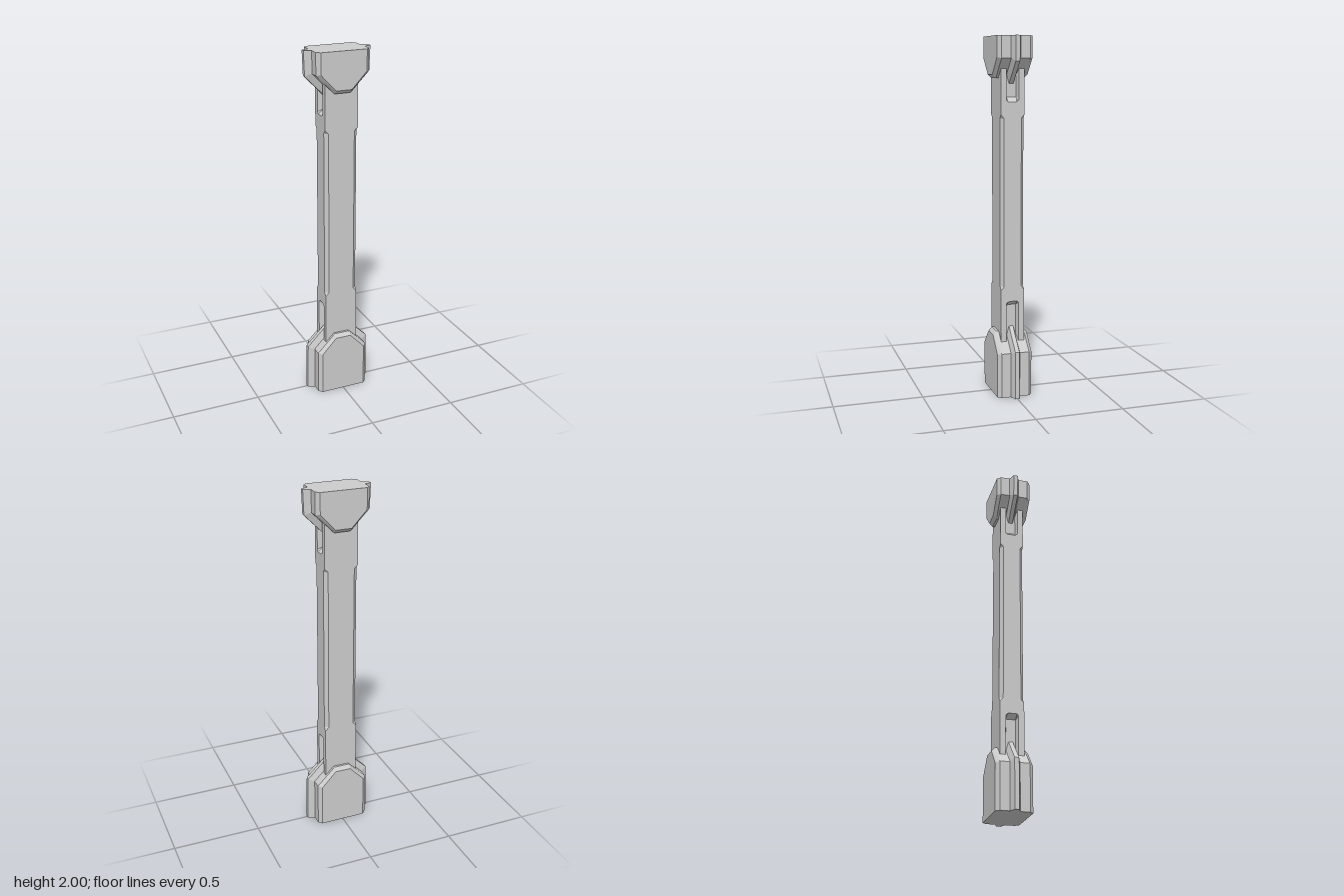
import * as THREE from 'three';

const material = new THREE.MeshStandardMaterial({ color: 0xcccccc, flatShading: true });

// Skin equal-length rings of [x, y, z]; each ring runs counter-clockwise about the sweep direction
function loft(name, rings, capped = true) {
  const pos = [];
  const tri = (a, b, c) => pos.push(...a, ...b, ...c);
  const n = rings[0].length;
  for (let r = 0; r < rings.length - 1; r++) {
    for (let i = 0; i < n; i++) {
      const j = (i + 1) % n;
      tri(rings[r][i], rings[r][j], rings[r + 1][j]);
      tri(rings[r][i], rings[r + 1][j], rings[r + 1][i]);
    }
  }
  if (capped) {
    const first = rings[0], last = rings[rings.length - 1];
    for (let i = 1; i < n - 1; i++) {
      tri(first[0], first[i + 1], first[i]);
      tri(last[0], last[i], last[i + 1]);
    }
  }
  const geometry = new THREE.BufferGeometry();
  geometry.setAttribute('position', new THREE.Float32BufferAttribute(pos, 3));
  geometry.computeVertexNormals();
  const mesh = new THREE.Mesh(geometry, material);
  mesh.name = name;
  return mesh;
}

// Column section: corner chamfer (0 to 1), side slot depth and half width
function columnRing(y, chamfer, depth, w) {
  const X = 0.095, Z = 0.067;
  const cx = X - 0.02 * chamfer, cz = Z - 0.018 * chamfer, f = X - depth, v = w - 0.008;
  const half = [[cx, Z], [X, cz], [X, w], [f, v], [f, -v], [X, -w], [X, -cz], [cx, -Z]];
  return [...half, ...half.map(([x, z]) => [-x, -z])].map(([x, z]) => [x, y, z]);
}

function createColumn() {
  const W = 0.035, D = 0.03;
  return loft('column', [
    columnRing(0.1, 0, D, W),
    columnRing(0.515, 0, D, W),
    columnRing(0.53, 0, 0.012, W),
    columnRing(0.54, 0, 0, 0.027),
    columnRing(0.605, 0, 0, W),
    columnRing(0.625, 1, 0, W),
    columnRing(1.56, 1, 0, W),
    columnRing(1.58, 0, 0, W),
    columnRing(1.648, 0, 0, 0.027),
    columnRing(1.658, 0, 0.012, W),
    columnRing(1.673, 0, D, W),
    columnRing(1.92, 0, D, W),
  ], false);
}

// End block standing on y = 0; h is the height where its shoulders start
function createEnd(name, h) {
  const group = new THREE.Group();
  group.name = name;

  // Block with bevelled front and back outlines
  const outline = (x, shoulder, top, z) => [
    [-x, 0, z], [x, 0, z], [x, shoulder, z], [0.045, top, z], [-0.045, top, z], [-x, shoulder, z],
  ];
  const inner = z => outline(0.13, h - 0.005, h + 0.085, z);
  const outer = z => outline(0.15, h, h + 0.105, z);
  group.add(loft('block', [inner(-0.1), outer(-0.08), outer(0.08), inner(0.1)]));

  // Tapered fins climbing the sides and running into the column slots
  const section = (ix, iy, ox, oy) => [
    [ix, iy, 0.027], [ox, oy, 0.012], [ox, oy, -0.012], [ix, iy, -0.027],
  ];
  for (const turn of [0, Math.PI]) {
    const fin = loft(turn ? 'rightFin' : 'leftFin', [
      section(0.15, 0, 0.19, 0),
      section(0.149, h - 0.003, 0.185, h + 0.015),
      section(0.05, h + 0.095, 0.055, h + 0.145),
    ]);
    fin.rotation.y = turn;
    group.add(fin);
  }
  return group;
}

export function createModel() {
  const model = new THREE.Group();
  model.name = 'pillar';
  const base = createEnd('base', 0.255);
  const head = createEnd('head', 0.12);
  head.rotation.z = Math.PI;
  head.position.y = 2;
  model.add(createColumn(), base, head);
  return model;
}
